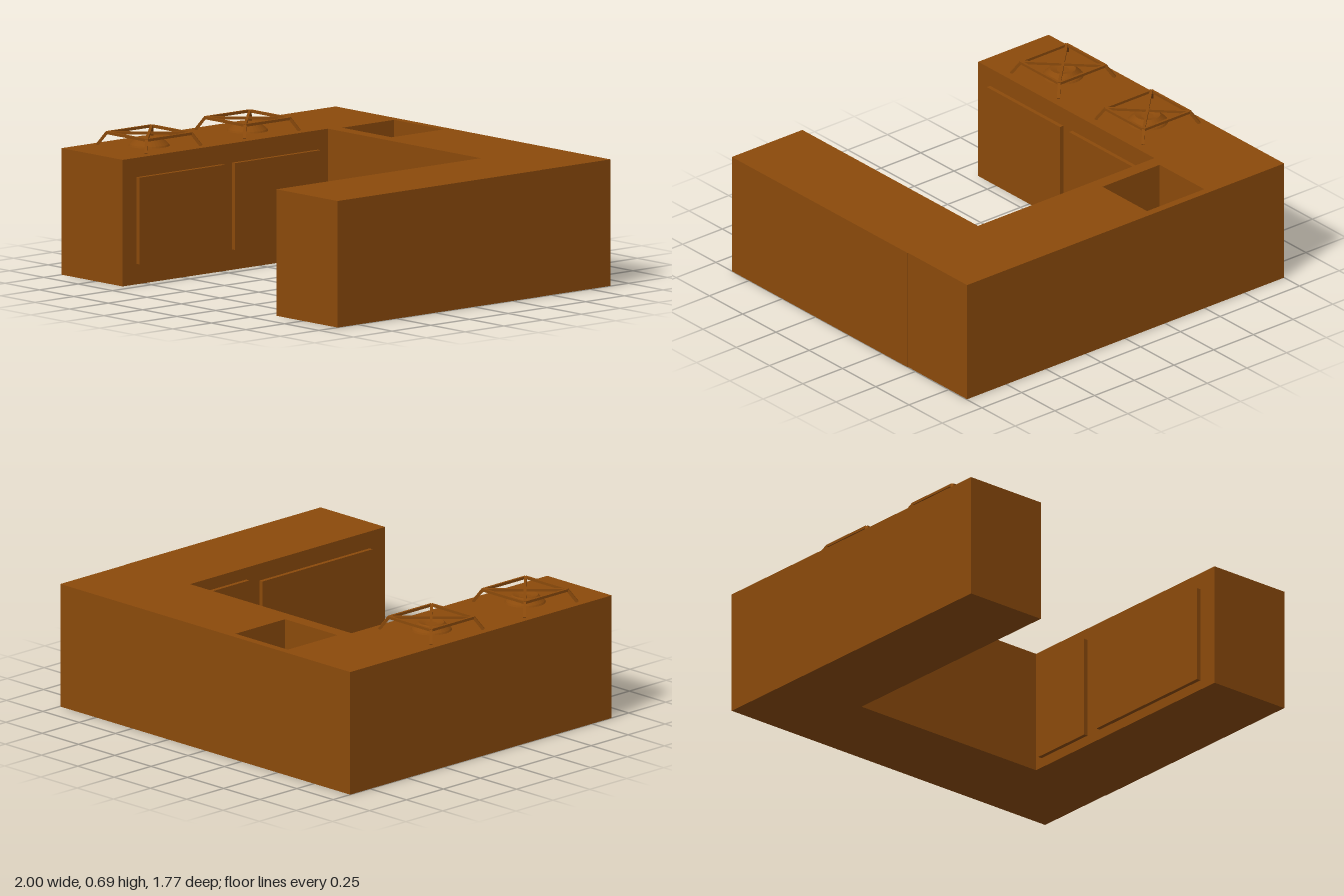
import * as THREE from 'three';

const H = 0.62;      // counter height
const INNER = 0.556; // inner face of both wings
const END = 0.885;   // half depth of the whole kitchen
const BACK_Z = -0.44;

const wood = new THREE.MeshStandardMaterial({ color: 0x8b4a0b, flatShading: true });

function add(parent, name, geometry, x = 0, y = 0, z = 0) {
  const mesh = new THREE.Mesh(geometry, wood);
  mesh.name = name;
  mesh.position.set(x, y, z);
  parent.add(mesh);
  return mesh;
}

// Box given by its minimum and maximum on each axis
function block(parent, name, [x0, x1], [y0, y1], [z0, z1]) {
  return add(parent, name, new THREE.BoxGeometry(x1 - x0, y1 - y0, z1 - z0),
    (x0 + x1) / 2, (y0 + y1) / 2, (z0 + z1) / 2);
}

// Square bar running between two points
function bar(parent, name, a, b, size) {
  const from = new THREE.Vector3(...a), to = new THREE.Vector3(...b);
  const mesh = add(parent, name, new THREE.BoxGeometry(size, size, from.distanceTo(to)));
  mesh.position.lerpVectors(from, to, 0.5);
  mesh.lookAt(to);
}

// Burner with a raised pot grate
function makeBurner() {
  const burner = new THREE.Group();
  burner.name = 'burner';

  const profile = [[0.1, 0], [0.095, 0.008], [0.062, 0.038], [0.03, 0.03], [0, 0.03]]
    .map(([r, y]) => new THREE.Vector2(r, y));
  add(burner, 'burnerCap', new THREE.LatheGeometry(profile, 32));

  const grate = new THREE.Group();
  grate.name = 'potGrate';
  burner.add(grate);
  const top = 0.06, half = 0.145, foot = 0.178;
  const corners = [[1, 1], [-1, 1], [-1, -1], [1, -1]];
  corners.forEach(([sx, sz], i) => {
    const [nx, nz] = corners[(i + 1) % 4];
    const corner = [sx * half, top, sz * half];
    bar(grate, 'grateRim', corner, [nx * half, top, nz * half], 0.013);
    bar(grate, 'grateLeg', corner, [sx * foot, 0, sz * foot], 0.014);
    if (i < 2) bar(grate, 'grateCross', corner, [-sx * half, top, -sz * half], 0.013);
  });
  return burner;
}

export function createModel() {
  const kitchen = new THREE.Group();
  kitchen.name = 'kitchenCounter';

  // L-shaped counter with the sink opening, drawn with shape y = -z
  const plan = new THREE.Shape([
    [-1, -END], [-INNER, -END], [-INNER, -BACK_Z], [0.997, -BACK_Z], [0.997, END], [-1, END],
  ].map(p => new THREE.Vector2(...p)));
  const sink = { x: [-0.53, -0.17], z: [-0.845, -0.51] };
  plan.holes.push(new THREE.Path([
    [sink.x[0], -sink.z[0]], [sink.x[1], -sink.z[0]], [sink.x[1], -sink.z[1]], [sink.x[0], -sink.z[1]],
  ].map(p => new THREE.Vector2(...p))));
  const counter = new THREE.ExtrudeGeometry(plan, { depth: H, bevelEnabled: false });
  counter.rotateX(-Math.PI / 2);
  add(kitchen, 'counter', counter);
  block(kitchen, 'sinkFloor', sink.x, [0, 0.3], sink.z);

  // Wing opposite the stove
  block(kitchen, 'sideCounter', [INNER, 1], [0, H], [BACK_Z, 0.88]);

  // Cupboard doors on the inner faces
  for (const z of [[-0.375, 0.178], [0.245, 0.795]])
    block(kitchen, 'stoveDoor', [-INNER - 0.005, -0.535], [0.1, 0.525], z);
  block(kitchen, 'smallDoor', [0.535, INNER + 0.005], [0.05, 0.56], [-0.4, -0.06]);
  block(kitchen, 'wideDoor', [0.535, INNER + 0.005], [0.05, 0.535], [0.03, 0.775]);

  // Two burners
  for (const z of [-0.12, 0.515]) {
    const burner = makeBurner();
    burner.position.set(-0.78, H, z);
    kitchen.add(burner);
  }
  return kitchen;
}
